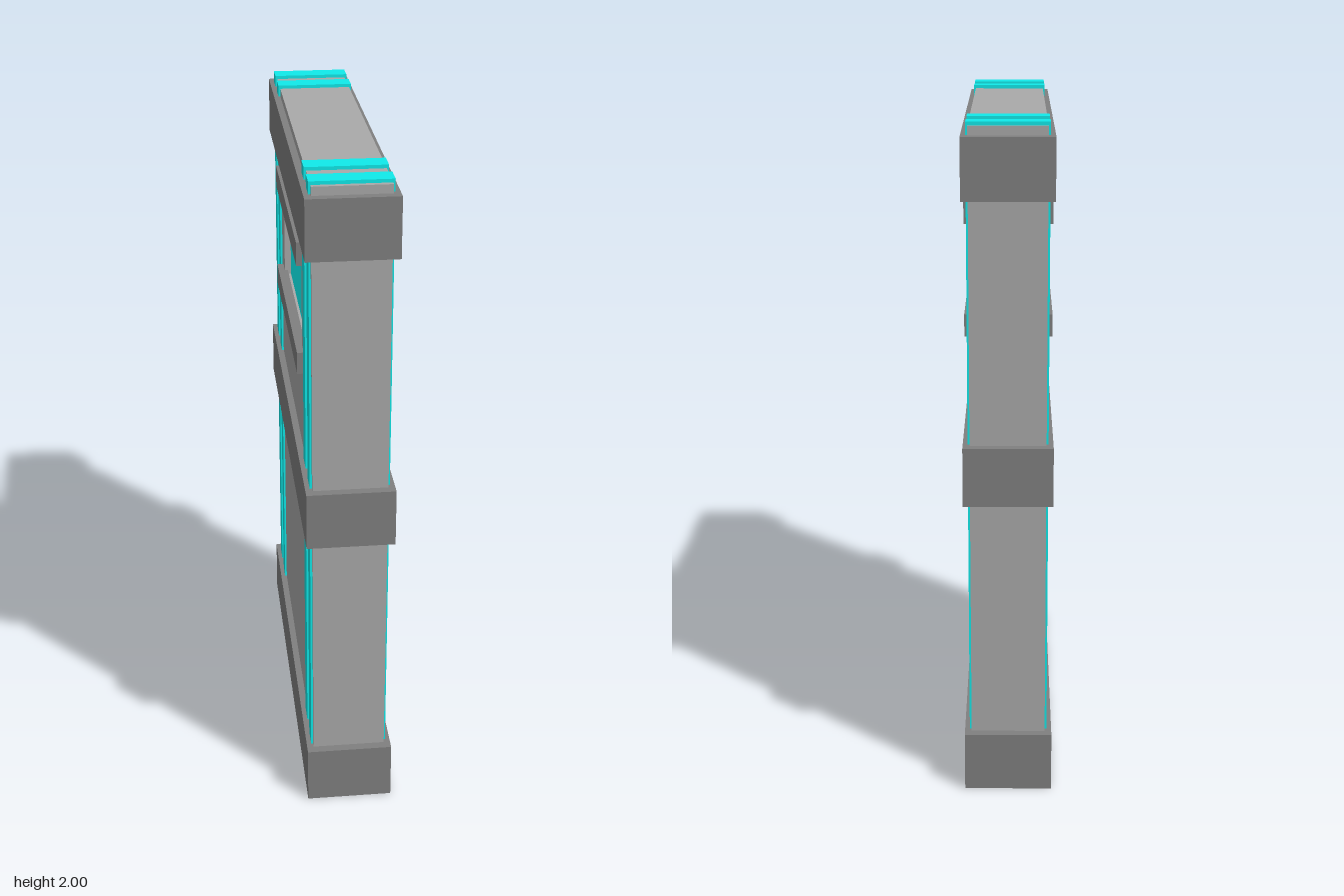
import * as THREE from 'three';

const material = (color) => new THREE.MeshStandardMaterial({ color });
const bodyGrey = material(0xaaaaaa);
const trimGrey = material(0x808080);
const stripeCyan = material(0x10eaea);
const glassCyan = material(0x10ffff);

// Box given by its half extents across x and z, and its bottom and top
function slab(name, mat, halfX, y0, y1, halfZ, x = 0, z = 0) {
  const mesh = new THREE.Mesh(new THREE.BoxGeometry(halfX * 2, y1 - y0, halfZ * 2), mat);
  mesh.name = name;
  mesh.position.set(x, (y0 + y1) / 2, z);
  return mesh;
}

function rectangle(PathType, x0, y0, x1, y1) {
  return new PathType([[x0, y0], [x1, y0], [x1, y1], [x0, y1]].map(([x, y]) => new THREE.Vector2(x, y)));
}

export function createModel() {
  const model = new THREE.Group();
  model.name = 'door';

  // Door leaf with a window opening
  const outline = rectangle(THREE.Shape, -0.61, 0.01, 0.61, 1.99);
  outline.holes.push(rectangle(THREE.Path, -0.31, 1.4, 0.31, 1.69));
  const leafGeometry = new THREE.ExtrudeGeometry(outline, { depth: 0.22, bevelEnabled: false });
  leafGeometry.translate(0, 0, -0.11).rotateY(Math.PI / 2);
  const leaf = new THREE.Mesh(leafGeometry, bodyGrey);
  leaf.name = 'doorLeaf';
  model.add(leaf);

  // Window pane, set back from both faces
  model.add(slab('windowPane', glassCyan, 0.09, 1.4, 1.69, 0.31));

  // Heavy bands around the leaf
  const bands = { bottomBand: [0, 0.18], middleBand: [0.91, 1.085], topBand: [1.79, 1.965] };
  for (const [name, [y0, y1]] of Object.entries(bands)) {
    model.add(slab(name, trimGrey, 0.13, y0, y1, 0.637));
  }

  for (const side of [-1, 1]) {
    // Upright stripes running over the top edge
    model.add(slab('outerStripe', stripeCyan, 0.116, 0.02, 2, 0.032, 0, side * 0.563));
    model.add(slab('innerStripe', stripeCyan, 0.116, 0.02, 2, 0.032, 0, side * 0.437));

    // Rails above and below the window on each face
    model.add(slab('windowTopRail', trimGrey, 0.015, 1.68, 1.75, 0.368, side * 0.115));
    model.add(slab('windowBottomRail', trimGrey, 0.015, 1.345, 1.412, 0.368, side * 0.115));
  }
  return model;
}
